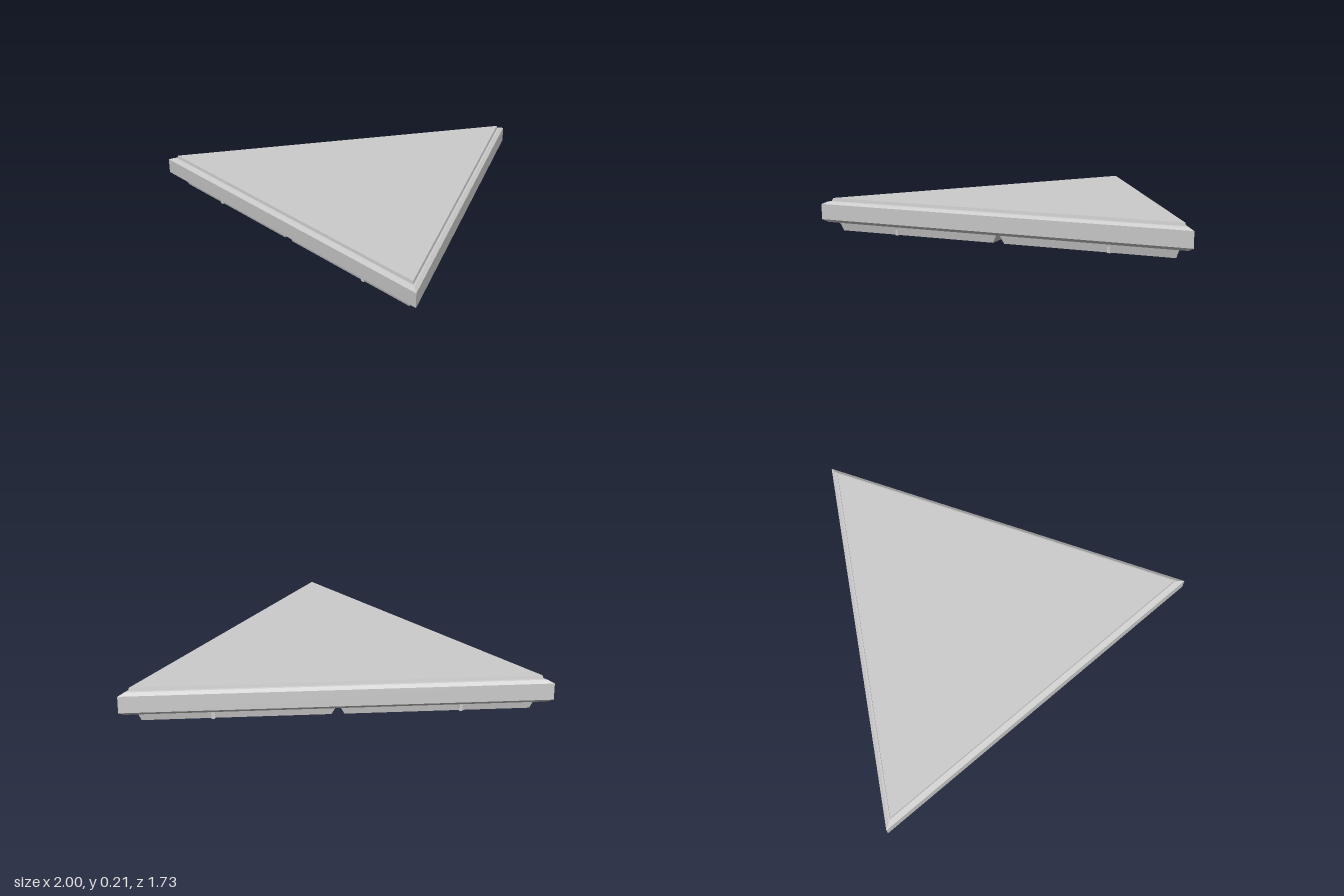
import * as THREE from 'three';

const CENTER_Z = -0.289;
const SQ3 = Math.sqrt(3);
const EDGE_ANGLES = [-Math.PI / 3, Math.PI / 3, Math.PI];
const material = new THREE.MeshStandardMaterial({ color: 0xcccccc, flatShading: true });

// Point at distance r outward from the centre and t along edge k
function at(k, r, t, y) {
  const a = EDGE_ANGLES[k % 3];
  return new THREE.Vector3(
    Math.sin(a) * r + Math.cos(a) * t, y,
    CENTER_Z + Math.cos(a) * r - Math.sin(a) * t);
}

// Closed solid through stacked loops, each counterclockwise from above
function loft(name, loops) {
  const points = [];
  const n = loops[0].length;
  const last = loops[loops.length - 1];
  for (let j = 0; j + 1 < loops.length; j++) {
    const lo = loops[j], hi = loops[j + 1];
    for (let i = 0; i < n; i++) {
      const m = (i + 1) % n;
      points.push(lo[i], lo[m], hi[m], lo[i], hi[m], hi[i]);
    }
  }
  for (let i = 1; i + 1 < n; i++) {
    points.push(loops[0][0], loops[0][i + 1], loops[0][i]);
    points.push(last[0], last[i], last[i + 1]);
  }
  const geometry = new THREE.BufferGeometry().setFromPoints(points);
  geometry.computeVertexNormals();
  const mesh = new THREE.Mesh(geometry, material);
  mesh.name = name;
  return mesh;
}

// Bar lying along edge k
function bar(name, k, r0, r1, t0, t1, y0, y1) {
  const loop = y => [at(k, r1, t0, y), at(k, r1, t1, y), at(k, r0, t1, y), at(k, r0, t0, y)];
  return loft(name, [loop(y0), loop(y1)]);
}

export function createModel() {
  const group = new THREE.Group();
  group.name = 'triangularTile';

  // Bevelled slab, from the recessed underside out and up to the top
  const profile = [
    [0.32, 0.135], [0.335, 0.08], [0.56, 0.08], [0.577, 0.095],
    [0.577, 0.175], [0.56, 0.188], [0.55, 0.19], [0.547, 0.206]];
  group.add(loft('slab', profile.map(([r, y]) => [0, 1, 2].map(k => at(k, r, r * SQ3, y)))));

  for (let k = 0; k < 3; k++) {
    // Skirt halves with a tapered notch between them
    for (const side of [-1, 1]) {
      const loop = (outer, inner, gap, yo, yi) => {
        const [t0, t1] = side < 0 ? [-0.57, -gap] : [gap, 0.57];
        return [at(k, outer, t0, yo), at(k, outer, t1, yo), at(k, inner, t1, yi), at(k, inner, t0, yi)];
      };
      group.add(loft('skirt', [
        loop(0.52, 0.335, 0.03, 0.035, 0.042),
        loop(0.53, 0.325, 0.005, 0.083, 0.083)]));
      // Narrow rib beside each foot
      const t = side * 0.575;
      group.add(bar('rib', k, 0.33, 0.527, t - 0.008, t + 0.008, 0.033, 0.083));
    }

    // Kite-shaped corner foot, deepest at its inner point
    const foot = (r, ySides, yInner) => [
      at(k, r, r * SQ3, ySides), at(k + 1, r, -0.563, ySides),
      at(k, 0.325, 0.563, yInner), at(k, r, 0.563, ySides)];
    group.add(loft('foot', [foot(0.52, 0.035, 0), foot(0.532, 0.085, 0.136)]));

    // Thin rail with clips inside the recess
    group.add(bar('rail', k, 0.285, 0.3, -0.46, 0.46, 0.122, 0.137));
    for (const t of [-0.3, 0.3]) {
      group.add(bar('clip', k, 0.275, 0.31, t - 0.025, t + 0.025, 0.115, 0.137));
    }
  }
  return group;
}
